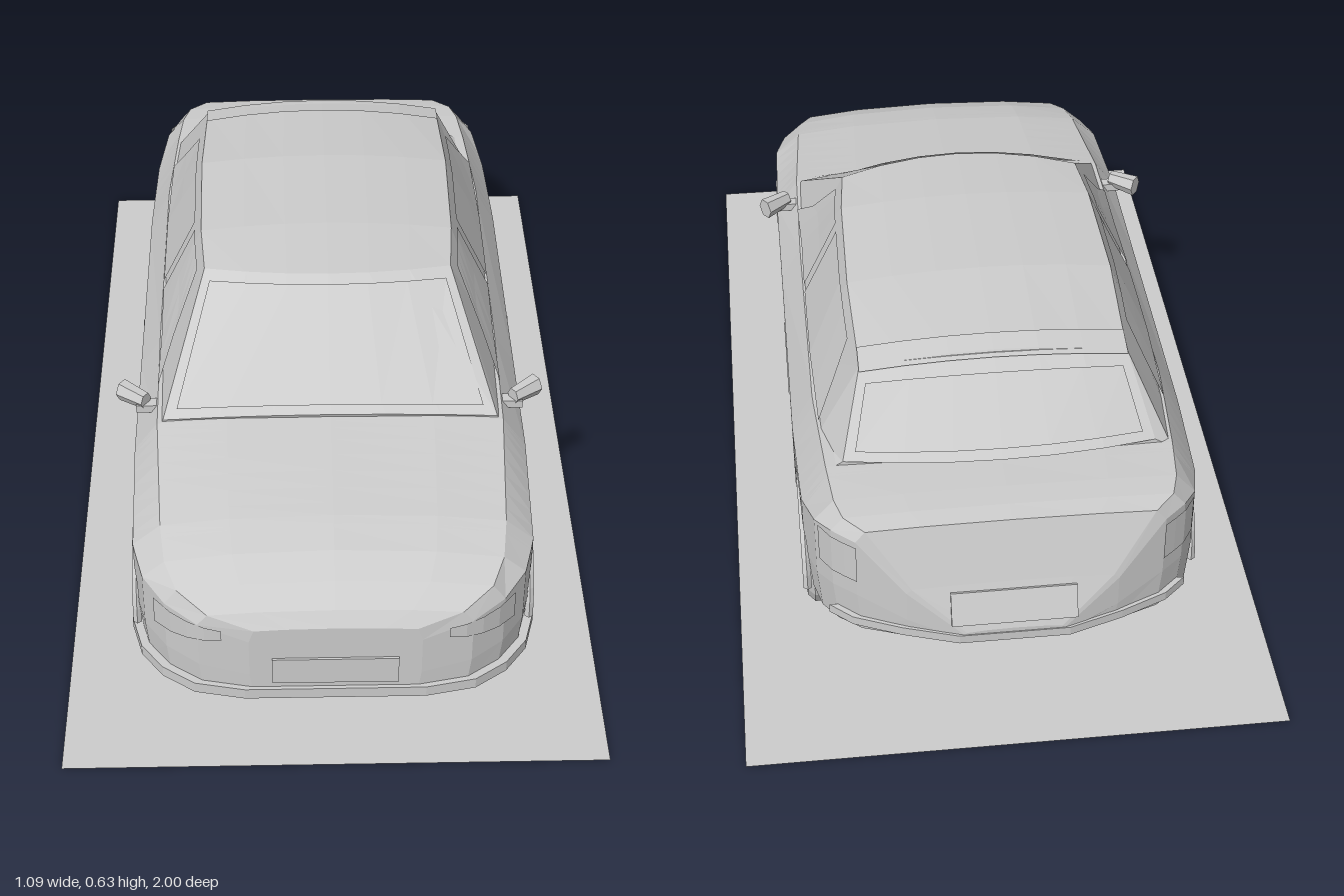
import * as THREE from 'three';

const paint = new THREE.MeshStandardMaterial({ color: 0xcccccc, side: THREE.DoubleSide });
paint.name = 'light grey';

// Linear interpolation of a table whose rows start with a falling z
function sample(table, z) {
  let i = 0;
  while (i < table.length - 2 && z < table[i + 1][0]) i++;
  const a = table[i], b = table[i + 1];
  const t = THREE.MathUtils.clamp((z - a[0]) / (b[0] - a[0]), 0, 1);
  return a.map((v, k) => v + (b[k] - v) * t);
}

// Faceted mesh
function part(name, geometry, x = 0, y = 0, z = 0) {
  const g = geometry.index ? geometry.toNonIndexed() : geometry;
  g.computeVertexNormals();
  const m = new THREE.Mesh(g, paint);
  m.name = name;
  m.position.set(x, y, z);
  return m;
}

function build(points, index) {
  const g = new THREE.BufferGeometry();
  g.setAttribute('position', new THREE.Float32BufferAttribute(points.flat(), 3));
  g.setIndex(index);
  return g;
}

// Closed loft of mirrored half sections, front to back
function loft(halves) {
  const rings = halves.map(h => [...h, ...h.slice(1, -1).reverse().map(([x, y, z]) => [-x, y, z])]);
  const n = rings[0].length, pts = rings.flat(), idx = [];
  for (let i = 0; i < rings.length - 1; i++) {
    for (let j = 0; j < n; j++) {
      const a = i * n + j, b = i * n + (j + 1) % n, c = b + n, d = a + n;
      idx.push(a, d, c, a, c, b);
    }
  }
  [0, rings.length - 1].forEach((r, end) => {
    const mid = [0, 1, 2].map(k => rings[r].reduce((s, p) => s + p[k], 0) / n);
    const c = pts.push(mid) - 1;
    for (let j = 0; j < n; j++) {
      const a = r * n + j, b = r * n + (j + 1) % n;
      idx.push(...(end ? [c, b, a] : [c, a, b]));
    }
  });
  return build(pts, idx);
}

// Thin surface from a function of u and v in 0..1
function patch(fn, nu, nv) {
  const pts = [], idx = [];
  for (let i = 0; i <= nu; i++) for (let j = 0; j <= nv; j++) pts.push(fn(i / nu, j / nv));
  for (let i = 0; i < nu; i++) {
    for (let j = 0; j < nv; j++) {
      const a = i * (nv + 1) + j, d = a + nv + 1;
      idx.push(a, d, d + 1, a, d + 1, a + 1);
    }
  }
  return build(pts, idx);
}

// z, half width, top of flank, shoulder x, shoulder y, centre y, underside y
const BODY = [
  [0.905, 0.17, 0.25, 0.16, 0.28, 0.285, 0.1],
  [0.885, 0.27, 0.28, 0.25, 0.305, 0.315, 0.1],
  [0.84, 0.335, 0.295, 0.31, 0.33, 0.35, 0.1],
  [0.78, 0.38, 0.31, 0.335, 0.35, 0.375, 0.1],
  [0.7, 0.402, 0.32, 0.345, 0.37, 0.392, 0.1],
  [0.43, 0.41, 0.34, 0.36, 0.41, 0.425, 0.1],
  [0.15, 0.41, 0.34, 0.365, 0.412, 0.42, 0.1],
  [-0.4, 0.41, 0.345, 0.365, 0.428, 0.43, 0.1],
  [-0.62, 0.402, 0.35, 0.35, 0.433, 0.437, 0.13],
  [-0.72, 0.38, 0.385, 0.34, 0.432, 0.437, 0.15],
  [-0.77, 0.35, 0.4, 0.325, 0.43, 0.435, 0.16],
  [-0.81, 0.305, 0.4, 0.285, 0.425, 0.43, 0.165],
  [-0.85, 0.21, 0.29, 0.2, 0.3, 0.305, 0.172],
  [-0.885, 0.1, 0.2, 0.095, 0.205, 0.21, 0.178],
];
const WHEELS = [0.58, -0.505], ARCH = 0.145, AXLE = 0.135;

function bodyGeometry() {
  const stations = BODY.map(r => [r[0], null])
    .filter(([z]) => WHEELS.every(c => Math.abs(z - c) > ARCH + 0.003));
  for (const c of WHEELS) {
    stations.push([c + ARCH + 0.001, null], [c - ARCH - 0.001, null]);
    for (let i = 0; i <= 10; i++) {
      const a = i * Math.PI / 10;
      stations.push([c + ARCH * Math.cos(a), AXLE + ARCH * Math.sin(a)]);
    }
  }
  stations.sort((a, b) => b[0] - a[0]);
  return loft(stations.map(([z, arch]) => {
    const [, w, yl, xs, ys, yc, yu] = sample(BODY, z);
    const yb = arch ?? yu, xi = Math.min(0.29, w * 0.95);
    return [[0, yu], [xi, yu], [xi, yb], [w - 0.008, yb], [w, yb + (yl - yb) * 0.4], [w, yl],
      [xs, ys], [xs * 0.6, ys + (yc - ys) * 0.7], [0, yc]].map(([x, y]) => [x, y, z]);
  }));
}

// z, belt x, belt y, roof edge x, roof edge y, centre y, bow in z
const CABIN = [
  [0.425, 0.362, 0.4, 0.348, 0.415, 0.432, 0.01],
  [0.15, 0.366, 0.405, 0.262, 0.603, 0.618, 0.045],
  [0.02, 0.367, 0.41, 0.272, 0.61, 0.627, 0],
  [-0.25, 0.367, 0.42, 0.277, 0.608, 0.626, 0],
  [-0.5, 0.36, 0.425, 0.27, 0.585, 0.607, -0.01],
  [-0.62, 0.35, 0.43, 0.315, 0.442, 0.452, -0.04],
];

// Point across the cabin top, u from -1 to 1
function cabinTop(z, u, lift = 0) {
  const [, , , x, y, yc, bow] = sample(CABIN, z), k = 1 - u * u;
  return [x * u, y + (yc - y) * k + lift, z + bow * k];
}

// Point on the cabin side, f from belt to roof edge
function cabinSide(side, z, f) {
  const [, xb, yb, xr, yr] = sample(CABIN, z);
  return [side * (xb + (xr - xb) * f + 0.005), yb + (yr - yb) * f + 0.002, z];
}

// Depth of the nose or tail surface at a given x
function endZ(rows, x) {
  const t = rows.map(r => [r[1], r[0]]).sort((a, b) => b[0] - a[0]);
  return sample(t, Math.abs(x))[1];
}
const NOSE = BODY.slice(0, 5), TAIL = BODY.slice(8);

// Bumper lip following the plan of one end
function lip(rows, out, height) {
  const half = rows.map(r => new THREE.Vector2(r[1] + 0.01, r[0] + out));
  const other = half.map(p => new THREE.Vector2(-p.x, p.y)).reverse();
  const g = new THREE.ExtrudeGeometry(new THREE.Shape([...half, ...other]), { depth: height, bevelEnabled: false });
  return g.rotateX(Math.PI / 2);
}

function wheel() {
  const g = new THREE.Group();
  g.name = 'wheel';
  const profile = [[0, -0.045], [0.11, -0.045], [0.135, -0.04], [0.135, 0.03], [0.12, 0.045],
    [0.097, 0.047], [0.092, 0.02], [0, 0.02]].map(p => new THREE.Vector2(...p));
  g.add(part('tyre', new THREE.LatheGeometry(profile, 18).rotateZ(-Math.PI / 2)));
  g.add(part('hub', new THREE.CylinderGeometry(0.02, 0.025, 0.025, 12).rotateZ(-Math.PI / 2), 0.03));
  for (let i = 0; i < 12; i++) {
    const spoke = new THREE.BoxGeometry(0.014, 0.08, 0.011).translate(0.032, 0.055, 0);
    g.add(part('spoke', spoke.rotateX(i * Math.PI / 6)));
  }
  return g;
}

export function createModel() {
  const car = new THREE.Group();
  car.name = 'car on base';
  const add = (...args) => { const m = part(...args); car.add(m); return m; };

  add('groundPlate', new THREE.PlaneGeometry(1.09, 2).rotateX(-Math.PI / 2));
  add('body', bodyGeometry());
  add('cabin', loft(CABIN.map(([z, xb, yb]) =>
    [[0, 0.37, z], [xb, yb - 0.01, z], ...[1, 0.66, 0.33, 0].map(u => cabinTop(z, u))])));

  // Glass and roof edge
  const span = u => (u * 2 - 1) * 0.93;
  add('windscreen', patch((u, v) => cabinTop(0.41 - 0.235 * v, span(u), 0.005), 6, 1));
  add('rearWindow', patch((u, v) => cabinTop(-0.525 - 0.085 * v, span(u), 0.005), 6, 1));
  add('roofSpoiler', patch((u, v) => {
    const p = cabinTop(-0.45, u * 2 - 1, 0.005);
    return [p[0], p[1] - 0.012 * v, p[2] - 0.065 * v];
  }, 6, 1));

  // Bumpers and number plates
  add('frontLip', lip(NOSE, 0.008, 0.025), 0, 0.125);
  add('rearLip', lip(TAIL.slice(2), -0.002, 0.02), 0, 0.2);
  add('frontPlate', new THREE.BoxGeometry(0.25, 0.065, 0.008), 0, 0.172, 0.906);
  add('rearPlate', new THREE.BoxGeometry(0.25, 0.07, 0.009), 0, 0.258, -0.87).rotation.x = 0.37;

  for (const s of [1, -1]) {
    // Side windows: front, rear
    add('frontSideWindow', patch((u, v) =>
      cabinSide(s, THREE.MathUtils.lerp(0.31 - 0.18 * v, -0.01, u), 0.1 + 0.8 * v), 4, 2));
    add('rearSideWindow', patch((u, v) =>
      cabinSide(s, THREE.MathUtils.lerp(-0.04, -0.49 + 0.09 * v, u), 0.1 + 0.8 * v), 4, 2));

    // Lamps wrapped round the corners
    add('headlight', patch((u, v) => {
      const x = 0.22 + 0.135 * u;
      return [s * (x + 0.003), 0.25 - 0.025 * u + v * (0.025 + 0.04 * u), endZ(NOSE, x) + 0.004];
    }, 4, 1));
    add('tailLight', patch((u, v) => {
      const x = 0.3 + 0.07 * u;
      return [s * (x + 0.004), 0.3 + 0.09 * v, endZ(TAIL, x) - 0.004];
    }, 3, 1));

    // Door seam and sill strip
    add('doorSeam', new THREE.BoxGeometry(0.006, 0.2, 0.006), s * 0.409, 0.235, -0.02);
    add('sillStrip', new THREE.BoxGeometry(0.01, 0.012, 0.46), s * 0.405, 0.12, -0.08);

    // Mirror
    const mirror = new THREE.Group();
    mirror.name = 'mirror';
    const shell = new THREE.CylinderGeometry(0.026, 0.02, 0.065, 6).rotateZ(-s * Math.PI / 2);
    const housing = part('mirrorHousing', shell.scale(1, 0.95, 0.8), 0.0, 0, 0);
    housing.rotation.y = s * 0.65;
    mirror.add(housing, part('mirrorStalk', new THREE.BoxGeometry(0.05, 0.018, 0.025), -s * 0.03, -0.016, 0.015));
    mirror.position.set(s * 0.412, 0.413, 0.34);
    car.add(mirror);

    // Wheels and arches
    for (const z of WHEELS) {
      const w = wheel();
      w.position.set(s * 0.355, AXLE, z);
      if (s < 0) w.rotation.y = Math.PI;
      car.add(w);
      add('wheelArch', new THREE.TorusGeometry(0.147, 0.009, 5, 14, Math.PI).rotateY(Math.PI / 2), s * 0.4, AXLE, z);
    }
  }
  return car;
}
